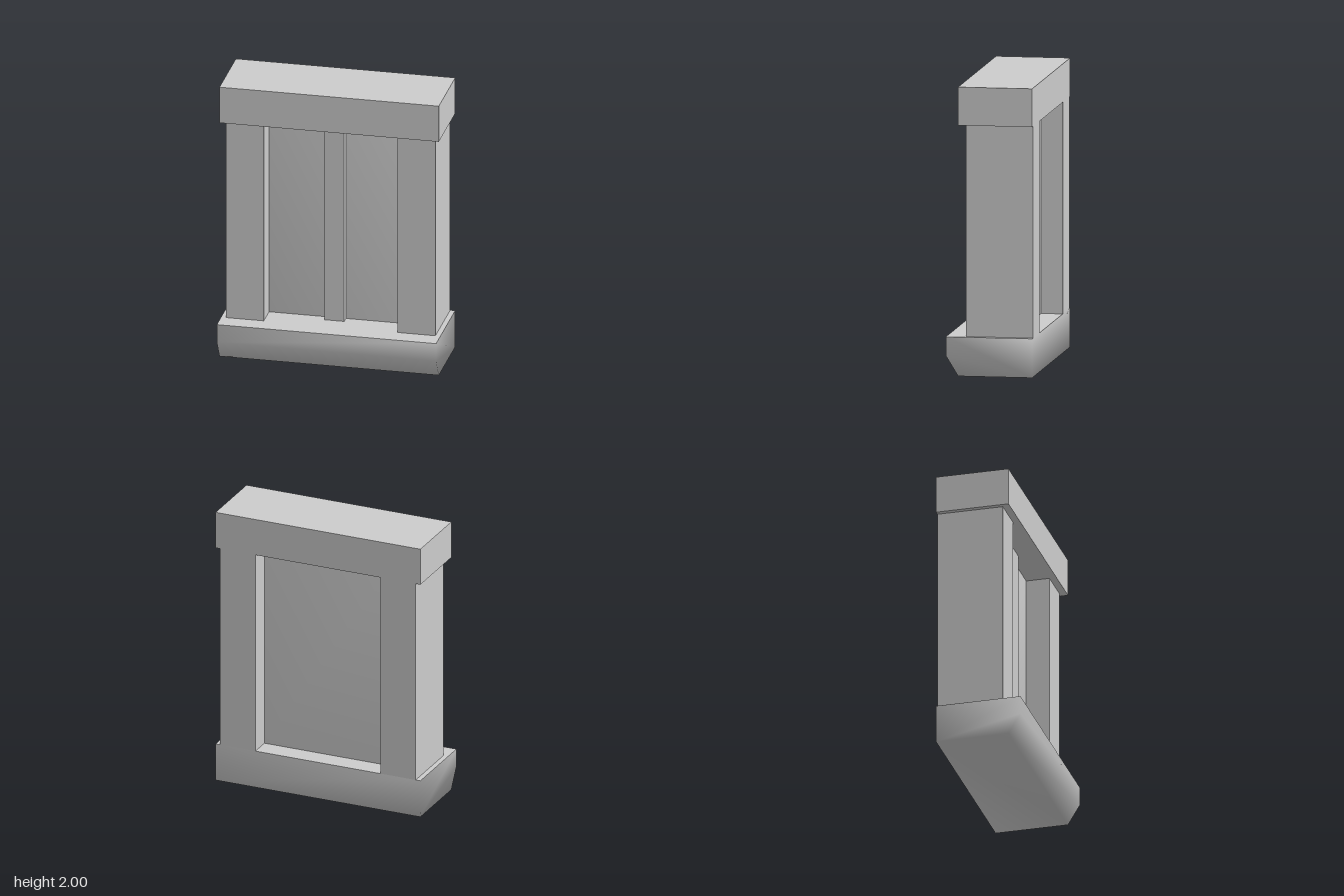
import * as THREE from 'three';
import { mergeVertices } from 'three/addons/utils/BufferGeometryUtils.js';

const SILL_TOP = 0.27, HEAD = 1.735, BACK = -0.3;

export function createModel() {
  const group = new THREE.Group();
  const material = new THREE.MeshStandardMaterial({ color: 0xcccccc });

  const add = (name, geometry) => {
    const mesh = new THREE.Mesh(geometry, material);
    mesh.name = name;
    group.add(mesh);
  };

  // box given by its limits on each axis
  const block = (x0, x1, y0, y1, z0, z1) =>
    new THREE.BoxGeometry(x1 - x0, y1 - y0, z1 - z0)
      .translate((x0 + x1) / 2, (y0 + y1) / 2, (z0 + z1) / 2);

  // one shared normal per corner
  const smooth = (geometry) => {
    geometry.deleteAttribute('uv');
    geometry.deleteAttribute('normal');
    const merged = mergeVertices(geometry, 1e-4);
    merged.computeVertexNormals();
    return merged;
  };

  // lintel and the two jambs, flush at the back
  add('lintel', block(-0.77, 0.77, HEAD, 2, BACK, 0.215));
  add('leftJamb', block(0.47, 0.735, SILL_TOP, HEAD, BACK, 0.165));
  add('rightJamb', block(-0.735, -0.47, SILL_TOP, HEAD, BACK, 0.165));

  // thick pane set midway in the opening, with a mullion on its front
  add('pane', smooth(block(-0.47, 0.47, SILL_TOP, HEAD, -0.15, 0)));
  add('mullion', block(-0.07, 0.07, SILL_TOP, HEAD, 0, 0.055));

  // sill: profile in (z, y) run along x, softly shaded below its flat top
  const profile = new THREE.Shape([
    [BACK, 0], [0.215, 0], [0.3, 0.14], [0.3, SILL_TOP], [BACK, SILL_TOP],
  ].map(([z, y]) => new THREE.Vector2(z, y)));
  const body = new THREE.ExtrudeGeometry(profile, { depth: 1.54, bevelEnabled: false })
    .rotateY(-Math.PI / 2).translate(0.77, 0, 0);
  const p = body.attributes.position;
  const kept = [];
  for (let i = 0; i < p.count; i += 3) {
    const corners = [i, i + 1, i + 2];
    if (corners.some((c) => p.getY(c) < SILL_TOP - 0.001)) kept.push(...corners);
  }
  body.setIndex(kept);
  add('sill', smooth(body));
  add('sillTop', new THREE.PlaneGeometry(1.54, 0.6).rotateX(-Math.PI / 2).translate(0, SILL_TOP, 0));

  return group;
}
